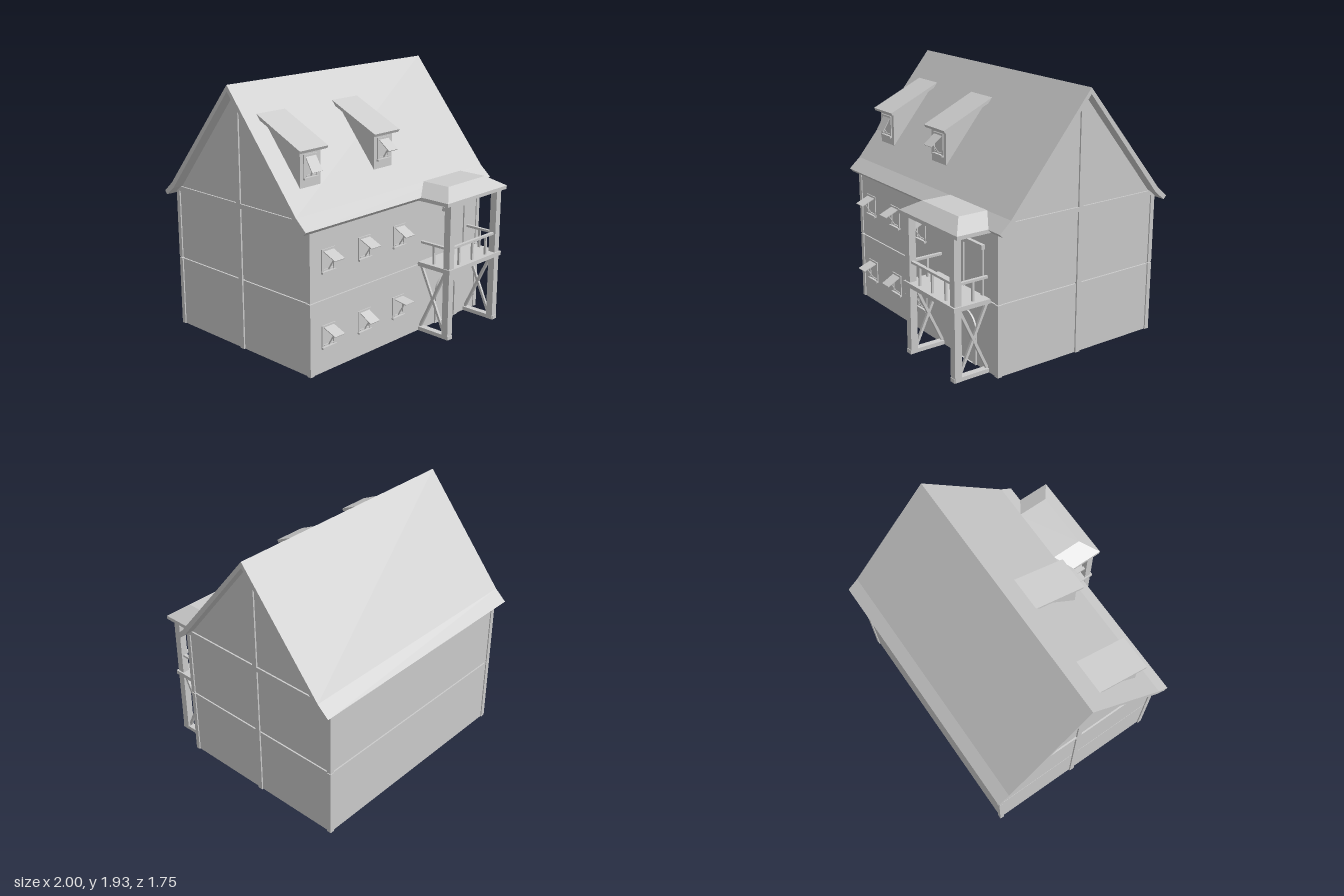
import * as THREE from 'three';

const mat = new THREE.MeshStandardMaterial({ color: 0xcccccc, flatShading: true });
const RIDGE = -0.125;

function add(parent, name, geo) {
  const m = new THREE.Mesh(geo, mat);
  m.name = name;
  parent.add(m);
  return m;
}

// Box given by its min and max on each axis
function box(parent, name, x0, x1, y0, y1, z0, z1) {
  const m = add(parent, name, new THREE.BoxGeometry(x1 - x0, y1 - y0, z1 - z0));
  m.position.set((x0 + x1) / 2, (y0 + y1) / 2, (z0 + z1) / 2);
  return m;
}

// Side profile of [z, y] points, extruded along x around centre cx
function profile(parent, name, pts, width, cx = 0) {
  const shape = new THREE.Shape(pts.map(p => new THREE.Vector2(...p)));
  const geo = new THREE.ExtrudeGeometry(shape, { depth: width, bevelEnabled: false });
  geo.rotateY(-Math.PI / 2).translate(cx + width / 2, 0, 0);
  return add(parent, name, geo);
}

// Beam between two [z, y] points at position x
function strut(parent, name, x, a, b, width, thick) {
  const dz = b[0] - a[0], dy = b[1] - a[1];
  const m = add(parent, name, new THREE.BoxGeometry(width, thick, Math.hypot(dz, dy)));
  m.position.set(x, (a[1] + b[1]) / 2, (a[0] + b[0]) / 2);
  m.rotation.x = -Math.atan2(dy, dz);
  return m;
}

// Framed window with a propped-open top-hung sash that hangs down by `drop`
function addWindow(parent, x, y, z, drop) {
  const g = new THREE.Group();
  g.name = 'window';
  g.position.set(x, y, z);
  parent.add(g);
  for (const s of [-1, 1]) box(g, 'windowJamb', s * 0.056 - 0.008, s * 0.056 + 0.008, 0.01, 0.17, -0.01, 0.008);
  box(g, 'windowHead', -0.064, 0.064, 0.155, 0.17, -0.01, 0.008);
  box(g, 'windowSill', -0.067, 0.067, 0, 0.014, -0.01, 0.02);
  const out = Math.sqrt(0.12 ** 2 - drop ** 2);
  strut(g, 'sash', 0, [0.004, 0.155], [out, 0.155 - drop], 0.095, 0.006);
  strut(g, 'sashProp', 0, [0.005, 0.02], [out * 0.65, 0.155 - drop * 0.65], 0.01, 0.006);
  box(g, 'propFoot', -0.045, 0.045, 0.02, 0.028, 0, 0.008);
}

function archPath(path, cx, r, spring) {
  path.moveTo(cx - r, 0).lineTo(cx + r, 0).lineTo(cx + r, spring);
  path.absarc(cx, spring, r, 0, Math.PI, false);
  path.lineTo(cx - r, 0);
  return path;
}

function buildHouse(root) {
  const g = new THREE.Group();
  g.name = 'house';
  root.add(g);
  // Two storeys separated by a narrow joint
  box(g, 'wallCore', -0.905, 0.905, 0, 1.06, -0.81, 0.565);
  box(g, 'lowerWalls', -0.918, 0.918, 0, 0.527, -0.822, 0.577);
  box(g, 'upperWalls', -0.918, 0.918, 0.54, 1.06, -0.822, 0.577);
  for (const s of [-1, 1]) {
    for (const z of [-0.83, 0.551])
      for (const [y0, y1] of [[0, 0.53], [0.537, 1.06]])
        box(g, 'cornerPost', s * 0.91 - 0.018, s * 0.91 + 0.018, y0, y1, z, z + 0.034);
    box(g, 'gableBeam', s * 0.915 - 0.015, s * 0.915 + 0.015, 1.06, 1.095, -0.83, 0.585);
    box(g, 'gablePost', s * 0.915 - 0.015, s * 0.915 + 0.015, 0, 1.87, RIDGE - 0.02, RIDGE + 0.02);
  }
  profile(g, 'gable', [[RIDGE - 0.69, 1.06], [RIDGE + 0.69, 1.06], [RIDGE + 0.645, 1.105], [RIDGE, 1.895],
    [RIDGE - 0.645, 1.105]], 1.836);
  // Flared roof shell
  const outer = [[0.75, 1.06], [0.66, 1.14], [0, 1.935]];
  const inner = [[0, 1.89], [0.645, 1.1], [0.727, 1.035]];
  const at = s => ([z, y]) => [RIDGE + s * z, y];
  profile(g, 'roof', [...outer.map(at(1)), ...outer.slice(0, 2).reverse().map(at(-1)),
    ...inner.slice(1).reverse().map(at(-1)), ...inner.map(at(1))], 2);
  // Front windows
  const drops = [[0.04, 0.055, 0.015], [0.045, 0.045, 0.052]];
  [0.175, 0.72].forEach((y, row) =>
    [-0.75, -0.39, -0.025].forEach((x, i) => addWindow(g, x, y, 0.577, drops[row][i])));
  // Arched front door frame
  const arch = archPath(new THREE.Shape(), 0.54, 0.135, 0.25);
  arch.holes.push(archPath(new THREE.Path(), 0.54, 0.095, 0.25));
  add(g, 'doorArch', new THREE.ExtrudeGeometry(arch, { depth: 0.02, bevelEnabled: false, curveSegments: 12 }))
    .position.z = 0.57;
}

function buildDormer(root, x, drop) {
  const g = new THREE.Group();
  g.name = 'dormer';
  root.add(g);
  profile(g, 'dormerBody', [[0.415, 1.285], [0.415, 1.545], [0.04, 1.725], [0.0, 1.7], [0.35, 1.29]], 0.19, x);
  profile(g, 'dormerRoof', [[0.445, 1.53], [0.455, 1.55], [0.03, 1.745], [0.03, 1.72]], 0.262, x);
  addWindow(g, x, 1.34, 0.415, drop);
}

function buildBalcony(root) {
  const g = new THREE.Group();
  g.name = 'balcony';
  root.add(g);
  box(g, 'balconyFloor', 0.2, 0.832, 0.518, 0.55, 0.57, 0.872);
  for (const x of [0.237, 0.793]) {
    box(g, 'balconyPost', x - 0.027, x + 0.027, 0, 1.04, 0.805, 0.86);
    box(g, 'footBeam', x - 0.025, x + 0.025, 0, 0.03, 0.57, 0.865);
    strut(g, 'crossBrace', x, [0.58, 0.03], [0.81, 0.515], 0.022, 0.02);
    strut(g, 'crossBrace', x, [0.58, 0.515], [0.81, 0.03], 0.018, 0.02);
    box(g, 'sideRail', x - 0.012, x + 0.012, 0.69, 0.707, 0.57, 0.81);
    box(g, 'sideBaluster', x - 0.008, x + 0.008, 0.55, 0.69, 0.687, 0.703);
  }
  box(g, 'frontRail', 0.26, 0.77, 0.69, 0.707, 0.822, 0.846);
  for (const x of [0.355, 0.515, 0.68]) box(g, 'frontBaluster', x - 0.008, x + 0.008, 0.55, 0.69, 0.826, 0.842);
  // Balcony door surround
  for (const x of [0.515, 0.745]) box(g, 'balconyDoorJamb', x - 0.012, x + 0.012, 0.55, 0.89, 0.57, 0.588);
  box(g, 'balconyDoorLintel', 0.47, 0.77, 0.885, 0.918, 0.57, 0.605);
  // Canopy: a slab whose upper part narrows to a hipped top
  box(g, 'canopyEdge', 0.16, 0.872, 1.035, 1.062, 0.54, 0.872);
  const hip = new THREE.BoxGeometry(0.712, 0.08, 0.352).translate(0.516, 1.102, 0.696);
  const p = hip.attributes.position;
  for (let i = 0; i < p.count; i++) {
    if (p.getY(i) < 1.1) continue;
    p.setX(i, p.getX(i) < 0.5 ? 0.295 : 0.735);
    if (p.getZ(i) > 0.7) p.setZ(i, 0.765);
  }
  hip.computeVertexNormals();
  add(g, 'canopyRoof', hip);
}

export function createModel() {
  const root = new THREE.Group();
  root.name = 'timberHouse';
  buildHouse(root);
  buildDormer(root, -0.75, 0.1);
  buildDormer(root, -0.025, 0.07);
  buildBalcony(root);
  return root;
}
